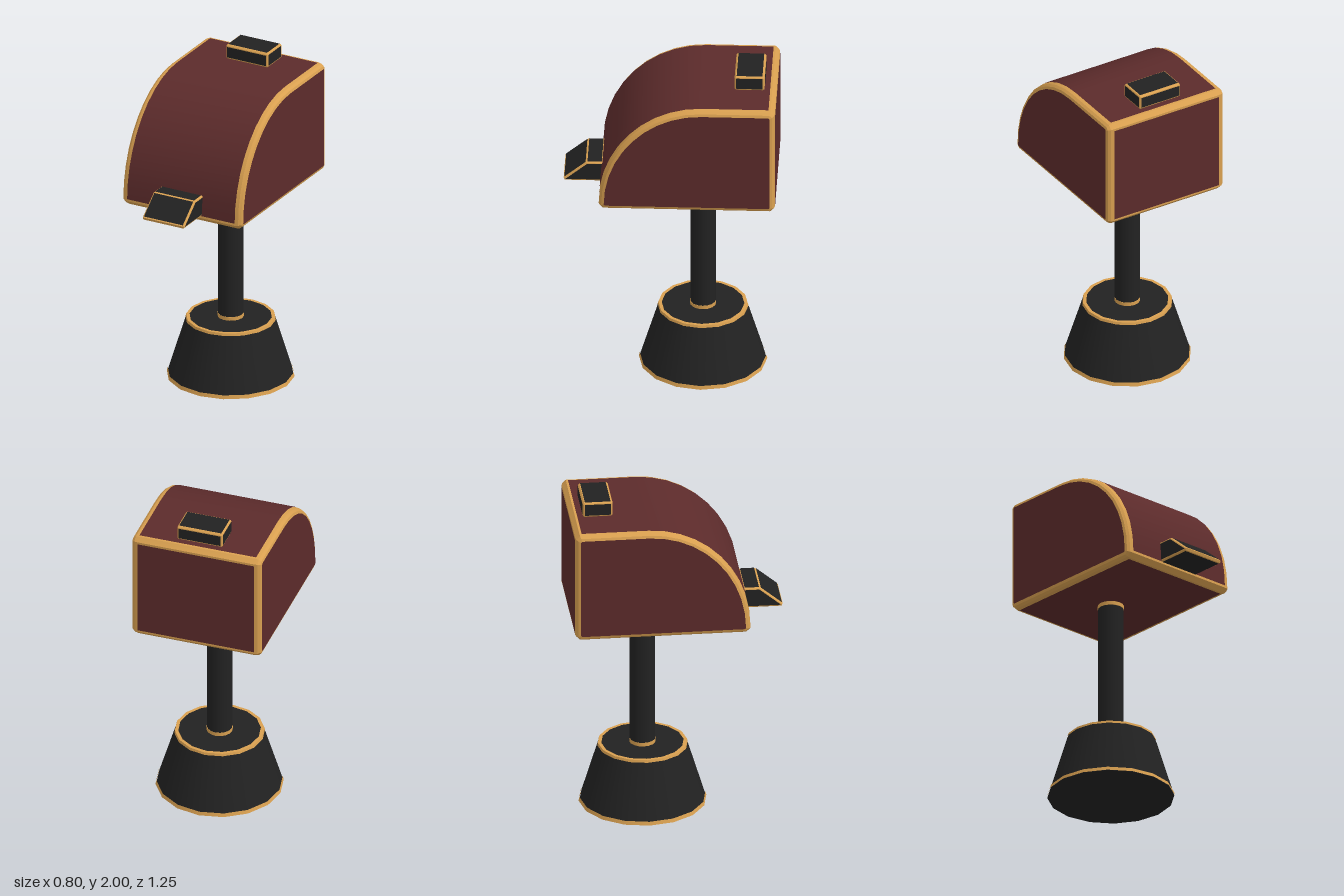
import * as THREE from 'three';
import { toCreasedNormals } from 'three/addons/utils/BufferGeometryUtils.js';

const paint = (color) => new THREE.MeshStandardMaterial({ color });
const GOLD = paint(0xd9a050), RED = paint(0x5c2b2b), BLACK = paint(0x222222);
const AXIS_Z = -0.195;

function add(parent, name, geometry, material) {
  const mesh = new THREE.Mesh(geometry, material);
  mesh.name = name;
  parent.add(mesh);
  return mesh;
}

// Straight sides of a polygon, each shortened a little so its corners come out cut
function polygonSides(points, gap) {
  return points.map((p, i) => {
    const a = new THREE.Vector2(...p);
    const b = new THREE.Vector2(...points[(i + 1) % points.length]);
    const step = b.clone().sub(a).setLength(gap);
    return [a.add(step), b.sub(step)];
  });
}

// Sheet laid over one side of the profile, just proud of the trim
function panelGeometry(side, halfWidth, offset) {
  const n = side.length;
  const geo = new THREE.PlaneGeometry(halfWidth * 2, 1, 1, n - 1);
  const pos = geo.attributes.position;
  for (let row = 0; row < n; row++) {
    const i = n - 1 - row;
    const d = side[Math.min(i + 1, n - 1)].clone().sub(side[Math.max(i - 1, 0)]).normalize();
    const z = side[i].x + d.y * offset, y = side[i].y - d.x * offset;
    for (let k = 0; k < 2; k++) pos.setXYZ(row * 2 + k, k ? halfWidth : -halfWidth, y, z);
  }
  geo.computeVertexNormals();
  return geo;
}

// Gold-edged block: (z, y) profile sides, counterclockwise, before the rounded edge is added
function edgedBlock(name, sides, halfWidth, edge, edgeDepth, material) {
  const group = new THREE.Group();
  group.name = name;
  const depth = 2 * (halfWidth - edgeDepth);
  const geo = new THREE.ExtrudeGeometry(new THREE.Shape(sides.flat()), {
    depth, bevelSize: edge, bevelThickness: edgeDepth, bevelSegments: 3, steps: 1,
  });
  geo.translate(0, 0, -depth / 2);
  geo.rotateY(-Math.PI / 2);
  add(group, name + 'Trim', toCreasedNormals(geo, 0.2), [material, GOLD]);
  for (const side of sides) {
    add(group, name + 'Panel', panelGeometry(side, depth / 2, edge + 0.002), material);
  }
  return group;
}

// Upright round piece on the stand's axis
function round(parent, name, rTop, rBottom, y0, y1, material, open = false) {
  const geo = new THREE.CylinderGeometry(rTop, rBottom, y1 - y0, 16, 1, open);
  return add(parent, name, geo, material).position.set(0, (y0 + y1) / 2, AXIS_Z);
}

export function createModel() {
  const model = new THREE.Group();
  model.name = 'postBox';

  // Housing: flat bottom and back, curved front running into the top
  const sides = polygonSides([[-0.6, 1.26], [0.37, 1.26], [0.37, 1.88], [-0.6, 1.88]], 0.007);
  const front = [];
  for (let i = 0; i <= 10; i++) {
    const t = (i / 10) * Math.PI / 2;
    front.push(new THREE.Vector2(-0.2 + 0.57 * Math.cos(t), 1.267 + 0.613 * Math.sin(t)));
  }
  front.push(sides[2][1]);
  model.add(edgedBlock('housing', [sides[0], front, sides[3]], 0.4, 0.03, 0.04, RED));

  // Top block and sloped front block
  const topBlock = [[-0.55, 1.92], [-0.395, 1.92], [-0.395, 1.99], [-0.55, 1.99]];
  const frontBlock = [[0.39, 1.28], [0.605, 1.28], [0.478, 1.385], [0.39, 1.385]];
  model.add(edgedBlock('topBlock', polygonSides(topBlock, 0.002), 0.14, 0.01, 0.01, BLACK));
  model.add(edgedBlock('frontBlock', polygonSides(frontBlock, 0.002), 0.14, 0.01, 0.01, BLACK));

  // Pole with a collar at each end
  round(model, 'pole', 0.075, 0.075, 0.36, 1.235, BLACK);
  round(model, 'upperCollar', 0.077, 0.077, 1.205, 1.232, GOLD);
  round(model, 'lowerCollar', 0.077, 0.077, 0.37, 0.392, GOLD);

  // Tapered base with rims
  round(model, 'base', 0.26, 0.372, 0, 0.368, BLACK);
  round(model, 'baseLowerRim', 0.37, 0.376, 0, 0.022, GOLD, true);
  round(model, 'baseUpperRim', 0.262, 0.266, 0.355, 0.37, GOLD, true);
  const ring = new THREE.RingGeometry(0.242, 0.262, 16).rotateX(-Math.PI / 2).rotateY(Math.PI / 2);
  add(model, 'baseTopRim', ring, GOLD).position.set(0, 0.37, AXIS_Z);

  return model;
}
